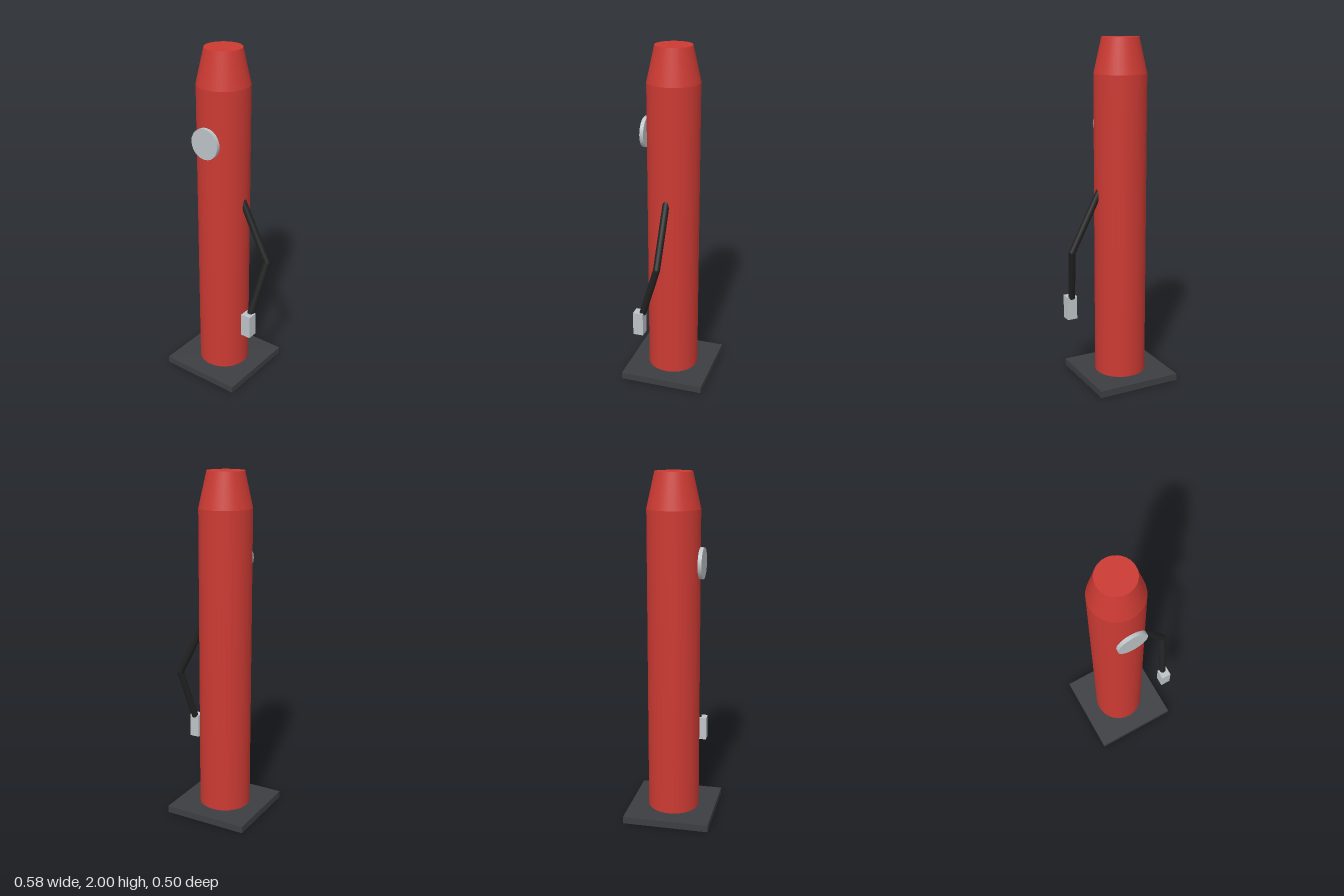
import * as THREE from 'three';

const paint = (color) => new THREE.MeshStandardMaterial({ color });
const RED = paint(0xcc3a33), DARK = paint(0x3c3e42), RUBBER = paint(0x222222), METAL = paint(0xbdc3c7);
const COLUMN_X = -0.04;

function part(parent, name, geometry, material, x, y, z) {
  const mesh = new THREE.Mesh(geometry, material);
  mesh.name = name;
  mesh.position.set(x, y, z);
  parent.add(mesh);
  return mesh;
}

// straight round rod between two points
function rod(parent, name, a, b, radius, material) {
  const dir = b.clone().sub(a);
  const mid = a.clone().lerp(b, 0.5);
  const mesh = part(parent, name, new THREE.CylinderGeometry(radius, radius, dir.length(), 16), material, mid.x, mid.y, mid.z);
  mesh.quaternion.setFromUnitVectors(new THREE.Vector3(0, 1, 0), dir.normalize());
}

export function createModel() {
  const model = new THREE.Group();
  model.name = 'hosePillar';

  // base plate and column with tapered top
  part(model, 'basePlate', new THREE.BoxGeometry(0.5, 0.04, 0.5), DARK, COLUMN_X, 0.02, 0);
  part(model, 'column', new THREE.CylinderGeometry(0.15, 0.15, 1.76, 32), RED, COLUMN_X, 0.92, 0);
  part(model, 'taperedCap', new THREE.CylinderGeometry(0.105, 0.15, 0.2, 32), RED, COLUMN_X, 1.9, 0);

  // round gauge on the front
  const gauge = part(model, 'gauge', new THREE.CylinderGeometry(0.088, 0.088, 0.022, 24), METAL, COLUMN_X, 1.505, 0.161);
  gauge.rotation.x = Math.PI / 2;

  // bent hose with a ball at the elbow
  const hose = new THREE.Group();
  hose.name = 'hose';
  model.add(hose);
  const start = new THREE.Vector3(0.07, 1.19, 0);
  const elbow = new THREE.Vector3(0.268, 0.805, 0);
  const end = new THREE.Vector3(0.229, 0.495, 0.1);
  rod(hose, 'upperHose', start, elbow, 0.02, RUBBER);
  rod(hose, 'lowerHose', elbow, end, 0.02, RUBBER);
  part(hose, 'hoseElbow', new THREE.SphereGeometry(0.02, 16, 12), RUBBER, elbow.x, elbow.y, elbow.z);

  // block nozzle at the hose end
  part(model, 'nozzle', new THREE.BoxGeometry(0.06, 0.14, 0.06), METAL, 0.229, 0.432, 0.12);

  return model;
}
